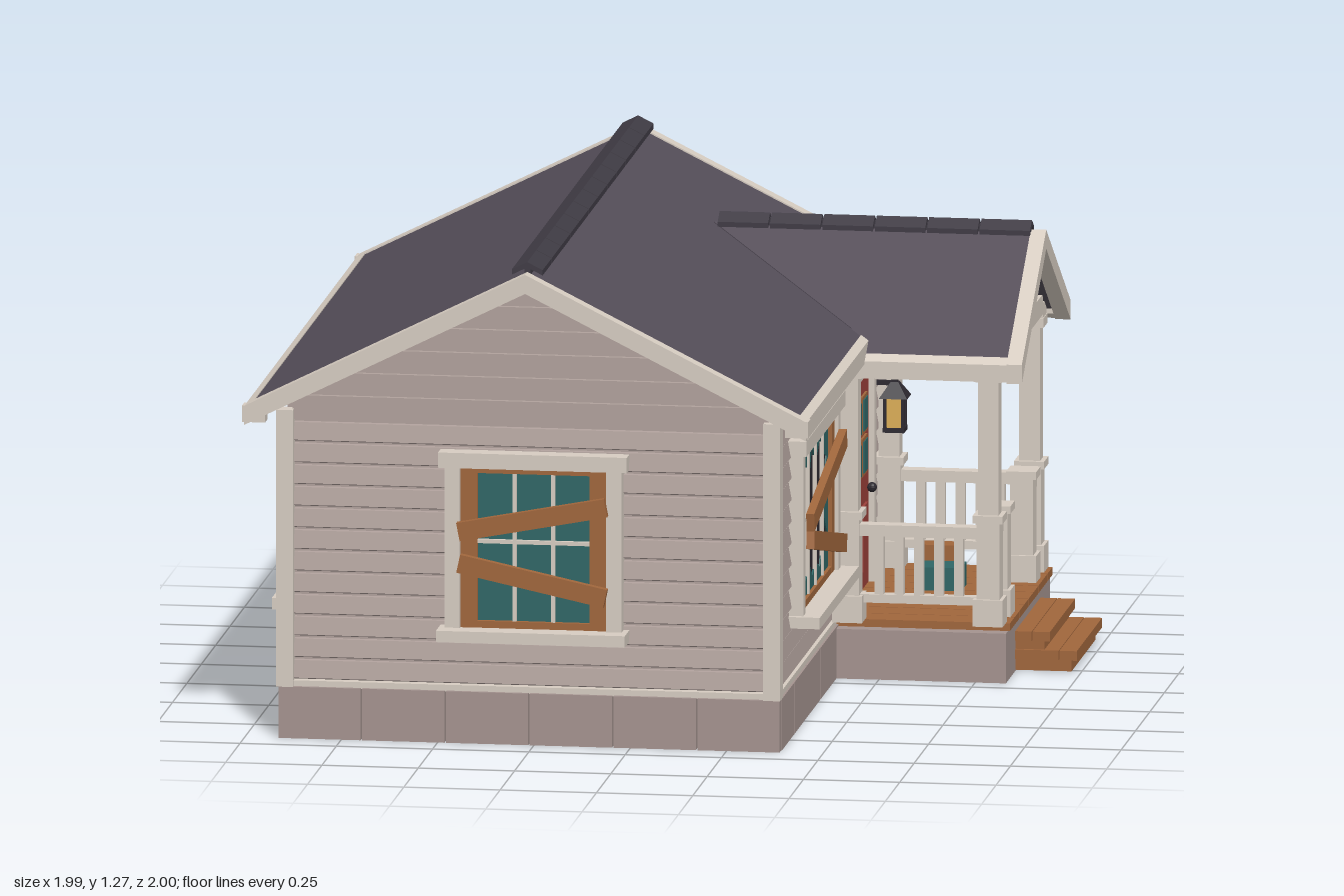
import * as THREE from 'three';

const C = { siding: 0xb0a19c, gap: 0x6f6360, trim: 0xd6ccc1, roof: 0x544d58, cap: 0x3f3b44, stone: 0xa4938f, wood: 0xa0663c,
  glass: 0x2f6666, dark: 0x2d2930, door: 0x9c4039, amber: 0xdcae58, floor: 0x4a2f1d };
const mats = {};
const mat = c => mats[c] ??= new THREE.MeshStandardMaterial({ color: C[c], flatShading: true, side: THREE.DoubleSide });

function add(parent, name, geo, color) {
  const m = new THREE.Mesh(geo, mat(color));
  m.name = name;
  parent.add(m);
  return m;
}
// Box given by its min and max along each axis
function box(parent, name, color, x0, x1, y0, y1, z0, z1) {
  const m = add(parent, name, new THREE.BoxGeometry(x1 - x0, y1 - y0, z1 - z0), color);
  m.position.set((x0 + x1) / 2, (y0 + y1) / 2, (z0 + z1) / 2);
  return m;
}
const shapeOf = pts => new THREE.Shape(pts.map(p => new THREE.Vector2(...p)));
const extrude = (pts, depth) => new THREE.ExtrudeGeometry(shapeOf(pts), { depth, bevelEnabled: false });
function sub(parent, name, x, y, z, ry = 0) {
  const g = new THREE.Group();
  g.name = name;
  g.position.set(x, y, z);
  g.rotation.y = ry;
  parent.add(g);
  return g;
}

// Piece lying on a roof slope: pts are [along ridge, away from ridge]
function pitch(parent, name, color, pts, t, dir, slope, origin) {
  const up = new THREE.Vector3(0, 1, 0), d = new THREE.Vector3(...dir);
  const u = d.clone().cross(up), sign = u.x + u.z;
  const geo = extrude(pts.map(([a, b]) => [a * sign, b]), t).translate(0, 0, -t);
  geo.applyMatrix4(new THREE.Matrix4().makeBasis(u, d.addScaledVector(up, -slope), up));
  add(parent, name, geo, color).position.set(...origin);
}
const rect = (a0, a1, b0, b1) => [[a0, b0], [a1, b0], [a1, b1], [a0, b1]];

// Clapboard wall: sawtooth profile run along local x, facing +z
function clapboards(parent, len, y0, y1, rows) {
  const h = (y1 - y0) / rows, pts = [[-0.01, y0]];
  for (let i = 0; i < rows; i++) {
    const y = y0 + i * h;
    pts.push([0, y], [0.02, y + 0.006], [0.012, y + h * 0.9], [0, y + h * 0.92]);
  }
  pts.push([-0.01, y1]);
  const geo = extrude(pts, len).translate(0, 0, -len / 2).rotateY(-Math.PI / 2);
  geo.rotateY(Math.PI).rotateY(Math.PI);
  geo.applyMatrix4(new THREE.Matrix4().makeScale(1, 1, 1));
  add(parent, 'clapboards', geo, 'siding');
}
// Gable boards: stacked trapezoids below a peak
function gableBoards(parent, peak, slope, y0, rows, maxHalf) {
  const h = (peak - y0) / rows, half = y => Math.min(maxHalf, (peak - y) / slope);
  for (let i = 0; i < rows; i++) {
    const a = y0 + i * h, b = a + h - 0.006;
    add(parent, 'gableBoard', extrude([[-half(a), a], [half(a), a], [half(b), b], [-half(b), b]], 0.014), 'siding');
  }
}

// Boarded window facing local +z, opening w wide
function boardedWindow(parent, x, z, ry, w, bars, broken, tilt) {
  const g = sub(parent, 'window', x, 0, z, ry), o = w / 2, y0 = 0.305, y1 = 0.725;
  for (const s of [-1, 1]) {
    box(g, 'sideTrim', 'trim', s * (o + 0.02) - 0.02, s * (o + 0.02) + 0.02, y0, y1, -0.01, 0.045);
    box(g, 'sideCasing', 'wood', s * (o - 0.022) - 0.022, s * (o - 0.022) + 0.022, y0, y1, -0.01, 0.035);
  }
  box(g, 'header', 'trim', -o - 0.055, o + 0.055, y1, 0.765, -0.01, 0.055);
  box(g, 'sill', 'trim', -o - 0.055, o + 0.055, 0.275, y0, -0.01, 0.09);
  box(g, 'topCasing', 'wood', -o, o, y1 - 0.015, y1, -0.01, 0.034);
  box(g, 'bottomCasing', 'wood', -o, o, y0, y0 + 0.018, -0.01, 0.034);
  // Glass, with a jagged hole when broken
  box(g, 'pane', broken ? 'dark' : 'glass', -o, o, y0, y1, -0.01, 0.021);
  if (broken) {
    const s = shapeOf(rect(-o, o, y0, y1)), hole = new THREE.Path(), n = 22;
    for (let i = 0; i < n; i++) {
      const a = i / n * Math.PI * 2, r = (i % 2 ? 0.68 : 0.93) + 0.06 * Math.sin(i * 2.3);
      const k = 1 / Math.max(Math.abs(Math.cos(a)), Math.abs(Math.sin(a)), 0.8);
      const px = Math.cos(a) * k * r * (o - 0.04), py = 0.515 + Math.sin(a) * k * r * 0.185;
      i ? hole.lineTo(px, py) : hole.moveTo(px, py);
    }
    hole.closePath();
    s.holes.push(hole);
    add(g, 'brokenGlass', new THREE.ExtrudeGeometry(s, { depth: 0.004, bevelEnabled: false }), 'glass').position.z = 0.021;
  }
  box(g, 'crossBar', 'trim', -o + 0.04, o - 0.04, 0.526, 0.536, 0.02, 0.032);
  for (let i = 1; i <= bars; i++) {
    const bx = -o + 0.04 + (w - 0.08) * i / (bars + 1);
    box(g, 'uprightBar', 'trim', bx - 0.005, bx + 0.005, y0, y1, 0.02, 0.031);
  }
  for (const [y, r] of [[0.597, tilt], [0.437, -tilt - 0.02]]) {
    const b = box(g, 'nailedBoard', 'wood', -o - 0.005, o + 0.005, y - 0.024, y + 0.024, 0.047, 0.068);
    b.rotation.z = r;
  }
}

function post(parent, x, z, tall) {
  const g = sub(parent, tall ? 'porchPost' : 'newelPost', x, 0, z);
  const b = (n, r, y0, y1) => box(g, n, 'trim', -r, r, y0, y1, -r, r);
  b('base', 0.039, 0.15, 0.22);
  b('shaft', 0.03, 0.22, 0.42);
  b('cap', 0.039, 0.42, 0.44);
  if (tall) {
    b('upperShaft', 0.027, 0.44, 0.79);
    b('capital', 0.037, 0.79, 0.815);
  }
}
function railing(parent, x, z, ry, len, n) {
  const g = sub(parent, 'railing', x, 0, z, ry);
  box(g, 'topRail', 'trim', -len / 2, len / 2, 0.375, 0.405, -0.02, 0.02);
  box(g, 'bottomRail', 'trim', -len / 2, len / 2, 0.2, 0.222, -0.015, 0.015);
  for (let i = 1; i <= n; i++) {
    const bx = -len / 2 + len * i / (n + 1);
    box(g, 'baluster', 'trim', bx - 0.012, bx + 0.012, 0.222, 0.375, -0.011, 0.011);
  }
}

export function createModel() {
  const root = new THREE.Group();
  root.name = 'house';
  const H = Math.PI / 2, cx = -0.26;

  // Hollow block foundation and floor
  const base = sub(root, 'foundation', 0, 0, 0);
  const blocks = (alongX, from, to, n, at) => {
    const s = (to - from) / n;
    for (let i = 0; i < n; i++) {
      const a = from + i * s + 0.002, b = from + (i + 1) * s - 0.002;
      alongX ? box(base, 'block', 'stone', a, b, 0, 0.135, at, at + 0.03) : box(base, 'block', 'stone', at, at + 0.03, 0, 0.135, a, b);
    }
  };
  for (const z of [-0.915, 0.885]) blocks(true, -0.915, 0.39, 6, z);
  for (const x of [-0.915, 0.36]) blocks(false, -0.885, 0.885, 8, x);
  box(base, 'floor', 'floor', -0.885, 0.36, 0.1, 0.13, -0.885, 0.885);

  // Body, clapboards, corner boards
  const body = sub(root, 'walls', 0, 0, 0);
  add(body, 'wallCore', extrude([[-0.88, 0.13], [0.36, 0.13], [0.36, 0.9], [cx, 1.21], [-0.88, 0.9]], 1.76).translate(0, 0, -0.88), 'siding');
  for (const [x, z, ry, len] of [[cx, 0.88, 0, 1.24], [cx, -0.88, Math.PI, 1.24], [0.36, 0, H, 1.76], [-0.88, 0, -H, 1.76]]) {
    const w = sub(body, 'wall', x, 0, z, ry);
    clapboards(w, len, 0.15, 0.83, 12);
    box(w, 'sillBoard', 'trim', -len / 2, len / 2, 0.132, 0.15, -0.01, 0.025);
    if (len < 1.5) gableBoards(w, 1.21, 0.5, 0.9, 5, 0.62);
    box(w, 'frieze', 'siding', -len / 2, len / 2, 0.832, 0.895, -0.01, 0.014);
  }
  for (const x of [-0.895, 0.37]) for (const z of [-0.895, 0.895])
    box(body, 'cornerBoard', 'trim', x - 0.024, x + 0.02, 0.135, 0.86, z - 0.024, z + 0.024);

  // Main roof: slabs, bargeboards, eave boards, ridge caps
  const roof = sub(root, 'mainRoof', 0, 0, 0);
  for (const s of [-1, 1]) {
    const part = (n, c, pts, t, lift = 0) => pitch(roof, n, c, pts, t, [s, 0, 0], 0.5, [cx, 1.245 + lift, 0]);
    part('roofSlab', 'roof', rect(-0.96, 0.96, 0, 0.71), 0.035);
    part('bargeboard', 'trim', rect(0.96, 1, 0, 0.73), 0.05, 0.004);
    part('bargeboard', 'trim', rect(-1, -0.96, 0, 0.73), 0.05, 0.004);
    part('eaveBoard', 'trim', rect(-0.96, 0.96, 0.708, 0.73), 0.048, 0.003);
    for (const z of [-0.98, 0.98]) box(roof, 'eaveReturn', 'trim', cx + s * 0.705 - 0.03, cx + s * 0.705 + 0.03, 0.842, 0.885, z - 0.02, z + 0.02);
    for (let i = 0; i < 12; i++)
      part('ridgeCap', 'cap', rect(-0.965 + i * 0.161, -0.809 + i * 0.161, 0, 0.04), 0.014, 0.03);
  }
  box(roof, 'ridgeBeam', 'cap', cx - 0.008, cx + 0.008, 1.22, 1.262, -0.96, 0.96);

  // Windows
  boardedWindow(root, -0.25, 0.885, 0, 0.38, 2, false, 0.19);
  boardedWindow(root, -0.2, -0.885, Math.PI, 0.38, 2, false, 0.19);
  boardedWindow(root, 0.365, 0.325, H, 0.57, 3, true, 0.19);
  boardedWindow(root, -0.885, -0.43, -H, 0.38, 2, false, 0.19);
  boardedWindow(root, -0.885, 0.37, -H, 0.38, 2, true, 0.19);

  // Front door
  const door = sub(root, 'door', 0.365, 0, -0.43, H);
  box(door, 'doorLeaf', 'door', -0.155, 0.155, 0.15, 0.725, 0, 0.03);
  for (const s of [-1, 1]) {
    box(door, 'doorTrim', 'trim', s * 0.172 - 0.018, s * 0.172 + 0.018, 0.15, 0.725, 0, 0.045);
    for (const y of [0.5, 0.61]) {
      box(door, 'paneFrame', 'wood', s * 0.055 - 0.043, s * 0.055 + 0.043, y - 0.05, y + 0.05, 0.02, 0.036);
      box(door, 'doorPane', 'glass', s * 0.055 - 0.034, s * 0.055 + 0.034, y - 0.041, y + 0.041, 0.02, 0.039);
    }
    box(door, 'doorPanel', 'door', s * 0.06 - 0.042, s * 0.06 + 0.042, 0.2, 0.37, 0.02, 0.037);
  }
  box(door, 'doorHeader', 'trim', -0.2, 0.2, 0.725, 0.765, 0, 0.05);
  for (const y of [0.23, 0.42, 0.64]) box(door, 'hinge', 'dark', -0.157, -0.142, y - 0.018, y + 0.018, 0.02, 0.036);
  add(door, 'knob', new THREE.SphereGeometry(0.013, 10, 8), 'dark').position.set(0.115, 0.405, 0.045);

  // Wall lantern
  const lamp = sub(root, 'lantern', 0.452, 0, -0.663);
  box(lamp, 'lampGlass', 'amber', -0.022, 0.022, 0.54, 0.62, -0.022, 0.022);
  box(lamp, 'lampBase', 'dark', -0.028, 0.028, 0.53, 0.542, -0.028, 0.028);
  for (const x of [-0.023, 0.023]) for (const z of [-0.023, 0.023])
    box(lamp, 'lampBar', 'dark', x - 0.004, x + 0.004, 0.54, 0.62, z - 0.004, z + 0.004);
  const hood = add(lamp, 'lampHood', new THREE.CylinderGeometry(0.014, 0.052, 0.04, 4), 'dark');
  hood.position.y = 0.64;
  hood.rotation.y = Math.PI / 4;
  box(lamp, 'lampFinial', 'dark', -0.008, 0.008, 0.655, 0.682, -0.008, 0.008);
  box(lamp, 'lampBracket', 'dark', -0.085, 0, 0.65, 0.662, -0.006, 0.006);

  // Porch base, deck planks and steps
  const porch = sub(root, 'porch', 0, 0, 0), pz = -0.44;
  box(porch, 'porchBase', 'stone', 0.39, 0.83, 0, 0.13, -0.83, -0.06);
  for (let i = 0; i < 9; i++) {
    const z = -0.835 + i * 0.0825;
    box(porch, 'deckPlank', 'wood', 0.385, 0.835, 0.13, 0.15, z, z + 0.078);
  }
  for (const [x, y] of [[0.92, 0.105], [0.99, 0.057]]) {
    box(porch, 'treadBack', 'wood', 0.83, x - 0.047, y - 0.025, y, -0.66, -0.22);
    box(porch, 'treadFront', 'wood', x - 0.045, x, y - 0.025, y, -0.66, -0.22);
    box(porch, 'riser', 'wood', 0.83, x - 0.015, y - 0.055, y - 0.025, -0.65, -0.23);
  }

  // Posts, railings and beams
  for (const s of [-1, 1]) {
    const z = pz + s * 0.36;
    for (const x of [0.42, 0.785]) post(porch, x, z, true);
    post(porch, 0.785, pz + s * 0.225, false);
    railing(porch, 0.6025, z, 0, 0.31, 5);
    railing(porch, 0.785, pz + s * 0.2925, H, 0.08, 1);
    box(porch, 'sideBeam', 'trim', 0.38, 0.82, 0.812, 0.855, z - 0.03, z + 0.03);
  }
  box(porch, 'frontBeam', 'trim', 0.755, 0.82, 0.825, 0.878, pz - 0.335, pz + 0.335);

  // Porch gable and roof
  const gable = sub(porch, 'porchGable', 0.795, 0, pz, H);
  add(gable, 'gableCore', extrude([[-0.33, 0.87], [0.33, 0.87], [0, 1.08]], 0.012).translate(0, 0, -0.006), 'siding');
  gableBoards(gable, 1.08, 0.635, 0.878, 4, 0.33);
  for (const s of [-1, 1]) {
    const part = (n, c, pts, t, lift = 0) => pitch(porch, n, c, pts, t, [0, 0, s], 0.635, [0, 1.11 + lift, pz]);
    part('porchRoofSlab', 'roof', [[0.015, 0], [0.42, 0.32], [0.42, 0.402], [0.84, 0.402], [0.84, 0]], 0.03);
    part('porchBargeboard', 'trim', rect(0.838, 0.878, 0, 0.425), 0.05, 0.004);
    part('porchEaveBoard', 'trim', rect(0.42, 0.838, 0.4, 0.425), 0.045, 0.002);
    for (let i = 0; i < 6; i++)
      part('porchRidgeCap', 'cap', rect(0.03 + i * 0.136, 0.161 + i * 0.136, 0, 0.034), 0.013, 0.028);
  }
  box(porch, 'porchRidgeBeam', 'cap', 0.03, 0.84, 1.09, 1.125, pz - 0.007, pz + 0.007);

  // Boxes left on the porch
  box(porch, 'tealCrate', 'glass', 0.54, 0.65, 0.15, 0.21, -0.58, -0.49);
  box(porch, 'woodCrate', 'wood', 0.53, 0.63, 0.15, 0.25, -0.64, -0.585);
  return root;
}
